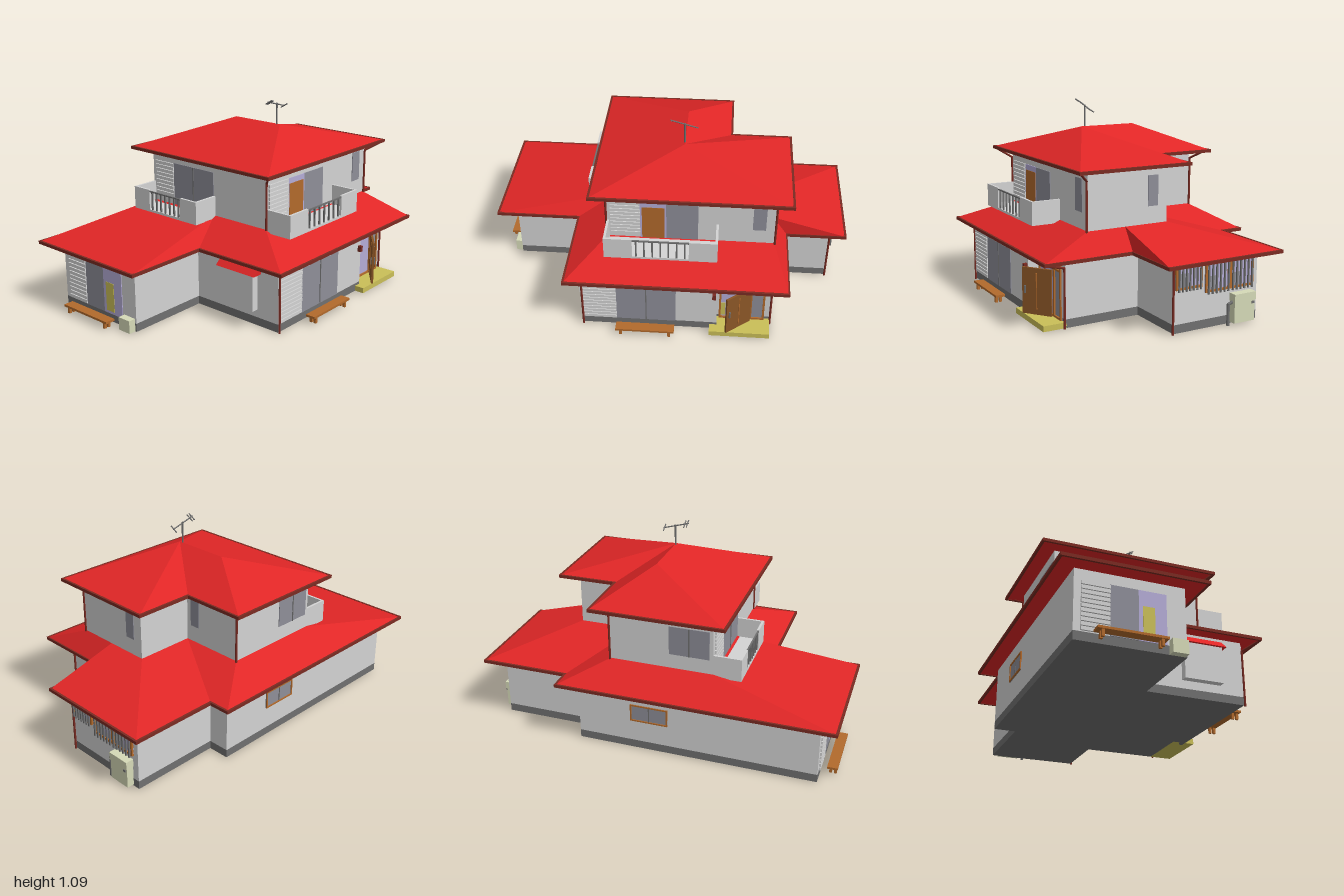
import * as THREE from 'three';

const mat = (name, color, side = THREE.FrontSide) => {
  const m = new THREE.MeshStandardMaterial({ color, side });
  m.name = name;
  return m;
};

export function createModel() {
  const M = {
    wall: mat('wall grey', 0xd3d3d3),
    roof: mat('roof red', 0xe02626, THREE.DoubleSide),
    dark: mat('dark grey', 0x707070),
    glass: mat('window glass', 0x8e8e98),
    wood: mat('light wood', 0xb26a2c),
    door: mat('dark wood', 0x8a5526),
    pipe: mat('gutter brown', 0x7a2b22),
    step: mat('entrance yellow', 0xcabf58),
    cream: mat('cream', 0xd6dab8),
    curtain: mat('curtain lilac', 0xb4acd6),
  };
  const house = new THREE.Group();
  house.name = 'house';

  const add = (name, geo, m, parent = house) => {
    const mesh = new THREE.Mesh(geo, m);
    mesh.name = name;
    parent.add(mesh);
    return mesh;
  };
  // Box given by its limits on each axis
  const box = (name, x0, x1, y0, y1, z0, z1, m, parent) => {
    const mesh = add(name, new THREE.BoxGeometry(x1 - x0, y1 - y0, z1 - z0), m, parent);
    mesh.position.set((x0 + x1) / 2, (y0 + y1) / 2, (z0 + z1) / 2);
    return mesh;
  };
  // Upright prism over a plan outline of [x, z] points
  const prism = (name, plan, y0, y1, m) => {
    const shape = new THREE.Shape(plan.map(([x, z]) => new THREE.Vector2(x, -z)));
    const geo = new THREE.ExtrudeGeometry(shape, { depth: y1 - y0, bevelEnabled: false });
    geo.rotateX(-Math.PI / 2).translate(0, y0, 0);
    return add(name, geo, m);
  };
  // Flat roof slopes, each a convex polygon turned to face upward
  const slopes = (name, polys) => {
    const pos = [];
    for (const poly of polys) {
      const p = poly.map((a) => new THREE.Vector3(...a));
      for (let i = 1; i < p.length - 1; i++) {
        const t = new THREE.Triangle(p[0], p[i], p[i + 1]);
        const up = t.getNormal(new THREE.Vector3()).y >= -1e-6;
        for (const v of up ? [t.a, t.b, t.c] : [t.a, t.c, t.b]) pos.push(v.x, v.y, v.z);
      }
    }
    const geo = new THREE.BufferGeometry();
    geo.setAttribute('position', new THREE.Float32BufferAttribute(pos, 3));
    geo.computeVertexNormals();
    add(name, geo, M.roof);
  };
  // Round rods through a list of points
  const rod = (name, pts, r, m) => {
    for (let i = 0; i < pts.length - 1; i++) {
      const a = new THREE.Vector3(...pts[i]), b = new THREE.Vector3(...pts[i + 1]);
      const d = b.clone().sub(a);
      const mesh = add(name, new THREE.CylinderGeometry(r, r, d.length() + r, 8), m);
      mesh.position.copy(a).add(b).multiplyScalar(0.5);
      mesh.quaternion.setFromUnitVectors(new THREE.Vector3(0, 1, 0), d.normalize());
    }
  };
  const gutter = (plan, y) => plan.forEach(([x, z], i) => {
    const [u, v] = plan[(i + 1) % plan.length], h = 0.006;
    box('gutter', Math.min(x, u) - h, Math.max(x, u) + h, y - 0.014, y + 0.003,
      Math.min(z, v) - h, Math.max(z, v) + h, M.pipe);
  });
  // Group whose local xy plane lies on a wall: local z points out of the wall
  const face = (name, x, z, angle) => {
    const g = new THREE.Group();
    g.name = name;
    g.position.set(x, 0, z);
    g.rotation.y = angle;
    house.add(g);
    return g;
  };
  const plate = (g, name, x0, x1, y0, y1, m, out = 0.004) =>
    box(name, x0, x1, y0, y1, -0.002, out, m, g);
  const frame = (g, x0, x1, y0, y1, m, t = 0.008, out = 0.009) => {
    plate(g, 'frame', x0, x1, y0, y0 + t, m, out);
    plate(g, 'frame', x0, x1, y1 - t, y1, m, out);
    plate(g, 'frame', x0, x0 + t, y0, y1, m, out);
    plate(g, 'frame', x1 - t, x1, y0, y1, m, out);
  };
  const shutter = (g, x0, x1, y0, y1) => {
    const n = Math.round((y1 - y0) / 0.022), s = (y1 - y0) / n;
    for (let i = 0; i < n; i++)
      plate(g, 'shutterSlat', x0, x1, y0 + i * s, y0 + (i + 0.8) * s, M.wall, 0.009);
  };
  const slidingWindow = (g, x0, x1, y0, y1) => {
    plate(g, 'glass', x0, x1, y0, y1, M.glass);
    const c = (x0 + x1) / 2;
    plate(g, 'mullion', c - 0.003, c + 0.003, y0, y1, M.dark, 0.007);
  };

  // Ground floor walls and foundation
  const lower = [[-0.91, -0.555], [0.41, -0.555], [0.41, -0.435], [0.91, -0.435], [0.91, 0.07],
    [0.58, 0.07], [0.58, 0.49], [0.29, 0.49], [0.29, 0.555], [-0.45, 0.555], [-0.45, 0], [-0.91, 0]];
  prism('foundation', lower, 0, 0.045, M.dark);
  prism('groundFloorWalls', lower, 0.045, 0.358, M.wall);

  // Upper floor walls
  const upper = [[-0.32, -0.465], [0.25, -0.465], [0.25, -0.1], [0.58, -0.1], [0.58, 0.365], [-0.32, 0.365]];
  prism('upperFloorWalls', upper, 0.4, 0.785, M.wall);

  // Lower roof
  const e = 0.364, t = 0.478;
  const eave = [[-1, -0.645], [0.5, -0.645], [0.5, -0.525], [0.99, -0.525], [0.99, 0.15],
    [0.66, 0.15], [0.66, 0.635], [-0.53, 0.635], [-0.53, 0.085], [-1, 0.085]];
  const E = eave.map(([x, z]) => [x, e, z]);
  const U = upper.map(([x, z]) => [x, t, z]);
  const west = [-0.32, t, 0], east = [0.58, t, 0.148];
  slopes('lowerRoof', [
    [E[0], E[1], U[1], U[0]], [E[1], E[2], U[2], U[1]], [E[2], E[3], U[3], U[2]],
    [E[3], E[4], east, U[3]], [E[4], E[5], east], [E[5], E[6], U[4], east],
    [E[6], E[7], U[5], U[4]], [E[7], E[8], west, U[5]], [E[8], E[9], west], [E[9], E[0], U[0], west],
  ]);
  prism('lowerSoffit', eave, e - 0.01, e - 0.001, M.roof);
  gutter(eave, e);

  // Upper roof
  const ue = 0.79;
  const top = [[-0.4, 0.445], [0.66, 0.445], [0.66, -0.19], [0.33, -0.19], [0.33, -0.55], [-0.4, -0.55]];
  const [A, B, C, D, F, G] = top.map(([x, z]) => [x, ue, z]);
  const P = [0.083, 0.935, 0.13], Q = [0.083, 0.935, -0.19];
  slopes('upperRoof', [[A, B, P], [B, C, P], [C, D, P], [D, F, Q, P], [F, G, Q], [G, A, P, Q]]);
  prism('upperSoffit', top, ue - 0.01, ue - 0.001, M.roof);
  gutter(top, ue);

  // Front wall, both floors
  const front = face('frontWindows', 0, 0.555, 0);
  shutter(front, -0.44, -0.26, 0.05, 0.35);
  slidingWindow(front, -0.26, 0.065, 0.045, 0.35);
  plate(front, 'transomBar', -0.26, 0.065, 0.296, 0.304, M.wall, 0.007);
  const upFront = face('upperFrontWindows', 0, 0.365, 0);
  shutter(upFront, -0.3, -0.14, 0.5, 0.72);
  plate(upFront, 'curtain', -0.14, 0, 0.48, 0.715, M.curtain);
  plate(upFront, 'cupboard', -0.13, -0.01, 0.48, 0.685, M.wood, 0.006);
  plate(upFront, 'glass', 0, 0.17, 0.48, 0.715, M.glass);
  plate(upFront, 'glass', 0.46, 0.53, 0.565, 0.735, M.glass);

  // East wall: barred kitchen windows and narrow upper windows
  const eastWall = face('barredWindows', 0.91, 0, Math.PI / 2);
  for (const [a, b, y0, y1, n] of [[-0.065, 0.09, 0.22, 0.34, 7], [0.11, 0.258, 0.185, 0.335, 6], [0.258, 0.405, 0.185, 0.335, 6]]) {
    plate(eastWall, 'pane', a, b, y0, y1, M.curtain);
    plate(eastWall, 'lowerPane', a, (a + b) / 2, y0, y0 + 0.08, M.glass, 0.006);
    frame(eastWall, a, b, y0, y1, M.wood, 0.011, 0.012);
    for (let i = 0; i < n; i++) {
      const x = a + 0.014 + (b - a - 0.028) * i / (n - 1);
      box('bar', x - 0.004, x + 0.004, y0 - 0.008, y1 + 0.008, 0.014, 0.022, M.dark, eastWall);
    }
  }
  plate(face('upperEastWindow', 0.58, 0, Math.PI / 2), 'glass', -0.015, 0.045, 0.57, 0.73, M.glass);
  plate(face('upperNotchWindow', 0.25, 0, Math.PI / 2), 'glass', 0.13, 0.19, 0.57, 0.735, M.glass);

  // Back wall windows
  const back = face('backWindow', 0, -0.555, Math.PI);
  slidingWindow(back, -0.11, 0.1, 0.17, 0.27);
  frame(back, -0.11, 0.1, 0.17, 0.27, M.wood);
  slidingWindow(face('upperBackWindow', 0, -0.465, Math.PI), 0.08, 0.3, 0.56, 0.72);

  // West wall: shutters and sliding doors on both floors
  const westWall = face('westWindows', -0.91, 0, -Math.PI / 2);
  shutter(westWall, -0.52, -0.38, 0.05, 0.3);
  plate(westWall, 'glass', -0.38, -0.24, 0.045, 0.3, M.glass);
  plate(westWall, 'curtain', -0.24, -0.1, 0.045, 0.3, M.curtain);
  plate(westWall, 'cupboard', -0.22, -0.16, 0.06, 0.22, M.step, 0.006);
  const upWest = face('upperWestWindows', -0.32, 0, -Math.PI / 2);
  shutter(upWest, -0.44, -0.3, 0.5, 0.72);
  slidingWindow(upWest, -0.3, 0.0, 0.48, 0.72);

  // Balconies: solid corners with an open railing in the middle
  const balcony = (g, w, d) => {
    const th = 0.013, y0 = 0.475, y1 = 0.588, s = w / 4;
    box('balconyFloor', 0, w, 0.462, y0, -0.02, d, M.wall, g);
    for (const x of [0, w - th]) box('balconySide', x, x + th, y0, y1, 0, d, M.wall, g);
    for (const x of [0, w - s]) box('balconyFront', x, x + s, y0, y1, d - th, d, M.wall, g);
    box('topRail', s, w - s, 0.575, 0.582, d - 0.01, d - 0.002, M.dark, g);
    for (let i = 0; i < 7; i++) {
      const x = s + (w - 2 * s) * (i + 0.5) / 7;
      box('baluster', x - 0.004, x + 0.004, y0, 0.58, d - 0.01, d - 0.002, M.dark, g);
    }
  };
  balcony(face('frontBalcony', -0.32, 0.365, 0), 0.6, 0.16);
  balcony(face('westBalcony', -0.32, -0.465, -Math.PI / 2), 0.475, 0.152);

  // Entrance: frame, transom, side light, open door and step
  const entry = face('entrance', 0, 0.49, 0);
  plate(entry, 'opening', 0.3, 0.47, 0.03, 0.285, M.curtain);
  plate(entry, 'hallCabinet', 0.305, 0.335, 0.05, 0.14, M.step, 0.006);
  plate(entry, 'transom', 0.3, 0.55, 0.285, 0.345, M.glass);
  plate(entry, 'sideLight', 0.47, 0.55, 0.03, 0.285, M.glass);
  frame(entry, 0.3, 0.55, 0.03, 0.348, M.wood, 0.011, 0.012);
  plate(entry, 'transomBar', 0.3, 0.55, 0.278, 0.288, M.wood, 0.012);
  plate(entry, 'doorPost', 0.468, 0.48, 0.03, 0.285, M.wood, 0.012);
  box('entranceStep', 0.25, 0.58, 0, 0.03, 0.48, 0.61, M.step);
  const door = face('openDoor', 0.47, 0.51, Math.PI + Math.atan2(0.1, 0.13));
  box('doorLeaf', 0, 0.164, 0.031, 0.275, -0.006, 0.006, M.door, door);
  for (const z of [-0.0065, 0.0065]) {
    box('doorPanel', 0.03, 0.134, 0.06, 0.25, z - 0.002, z + 0.002, M.wood, door).scale.set(0.05, 1, 1);
    box('doorHandle', 0.142, 0.15, 0.14, 0.18, z - 0.006, z + 0.006, M.dark, door);
  }
  box('porchLamp', 0.262, 0.282, 0.235, 0.268, 0.555, 0.575, M.pipe);

  // Benches and outdoor units
  const bench = (g, w) => {
    box('benchSeat', 0, w, 0.034, 0.046, 0.035, 0.09, M.wood, g);
    for (const x of [0.02, w - 0.035]) for (const z of [0.045, 0.07])
      box('benchLeg', x, x + 0.014, 0, 0.035, z, z + 0.014, M.wood, g);
  };
  bench(face('frontBench', -0.26, 0.555, 0), 0.32);
  bench(face('westBench', -0.91, -0.47, -Math.PI / 2), 0.34);
  box('waterHeater', 0.91, 0.95, 0.008, 0.155, -0.395, -0.27, M.cream);
  box('waterHeaterLid', 0.91, 0.955, 0.118, 0.16, -0.398, -0.267, M.cream);
  box('waterHeaterDial', 0.953, 0.957, 0.1, 0.112, -0.39, -0.372, M.dark);
  rod('heaterPipe', [[0.93, 0, -0.245], [0.93, 0.108, -0.245], [0.93, 0.118, -0.27]], 0.008, M.dark);
  box('airUnit', -0.95, -0.91, 0, 0.07, -0.09, -0.01, M.cream);

  // Small bay window with a red hood
  box('bayWindow', -0.49, -0.45, 0.09, 0.29, 0.2, 0.42, M.wall);
  slopes('bayHood', [[[-0.505, 0.29, 0.18], [-0.505, 0.29, 0.44], [-0.45, 0.34, 0.44], [-0.45, 0.34, 0.18]],
    [[-0.505, 0.29, 0.44], [-0.45, 0.29, 0.44], [-0.45, 0.34, 0.44]],
    [[-0.505, 0.29, 0.18], [-0.45, 0.29, 0.18], [-0.45, 0.34, 0.18]],
    [[-0.505, 0.29, 0.18], [-0.505, 0.29, 0.44], [-0.45, 0.29, 0.44], [-0.45, 0.29, 0.18]]]);

  // Downpipes: foot on the wall, elbow, then out to the gutter
  for (const [x, z, y0, y1, gx, gz, gy] of [
    [-0.447, 0.563, 0, 0.31, -0.5, 0.63, 0.355], [0.584, 0.495, 0, 0.31, 0.655, 0.63, 0.355],
    [0.914, 0.075, 0, 0.33, 0.95, 0.145, 0.355], [-0.322, 0.37, 0.475, 0.73, -0.395, 0.44, 0.78],
    [0.582, 0.37, 0.475, 0.73, 0.655, 0.44, 0.78], [0.254, -0.468, 0.475, 0.74, 0.325, -0.5, 0.78]])
    rod('downpipe', [[x, y0, z], [x, y1, z], [gx, gy, gz]], 0.006, M.pipe);

  // Roof aerial
  rod('aerialMast', [[0.08, 0.91, 0.11], [0.08, 1.05, 0.11]], 0.005, M.dark);
  rod('aerialBoom', [[0.005, 1.068, 0.11], [0.148, 1.027, 0.11]], 0.0035, M.dark);
  for (const [x, y] of [[0.01, 1.066], [0.025, 1.062], [0.145, 1.028]])
    rod('aerialElement', [[x, y + 0.012, 0.13], [x, y - 0.012, 0.09]], 0.0035, M.dark);

  return house;
}
